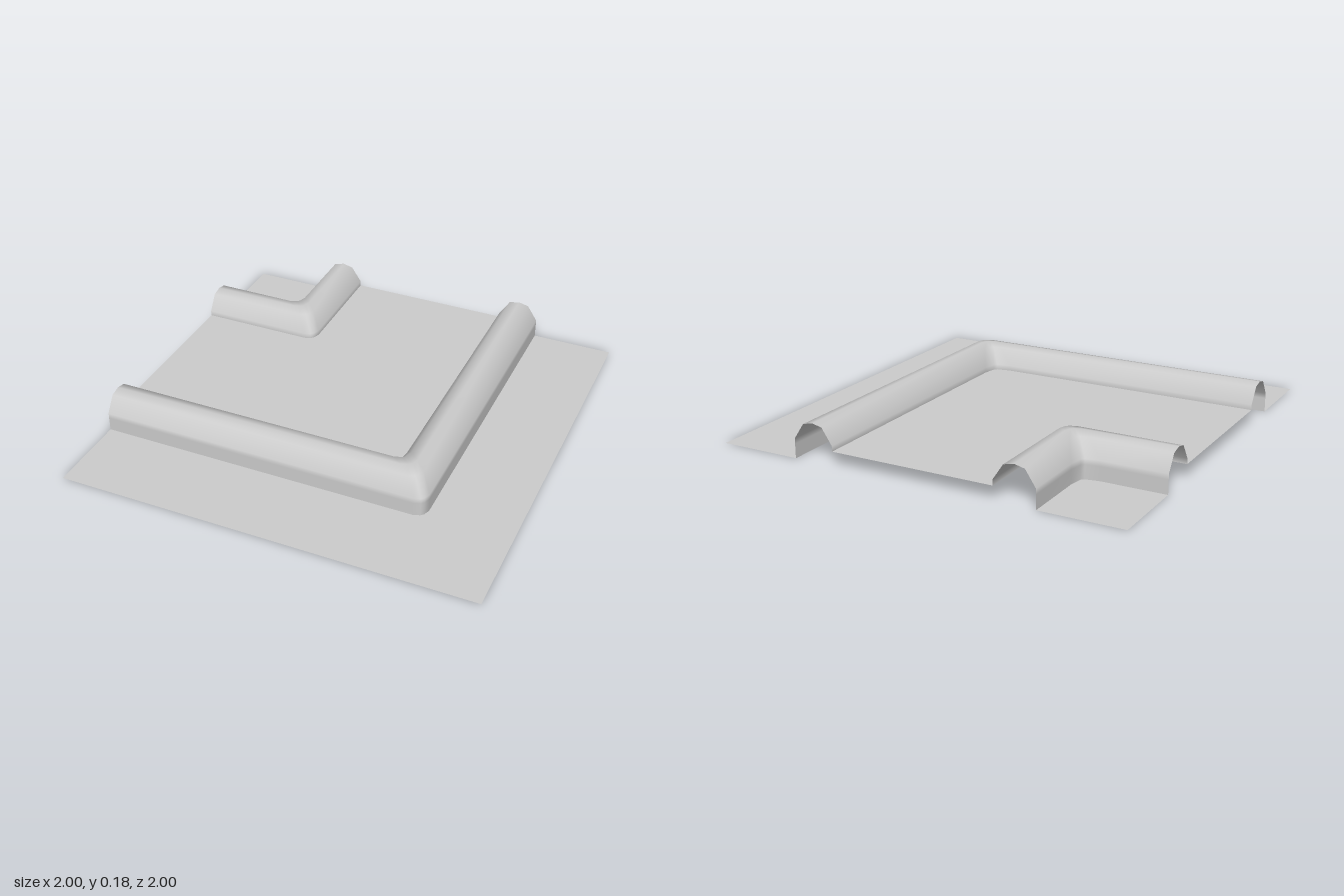
import * as THREE from 'three';

const material = new THREE.MeshStandardMaterial({ color: 0xcccccc, side: THREE.DoubleSide });

const RAISED = 0.067; // height of the floor between the ridges
const INNER_ROUND = 0.09;
const OUTER_ROUND = 0.055;

// Rounded cap of a ridge: [offset from centre line, height, corner rounding]
const CAP = [
  [-0.1, RAISED, INNER_ROUND], [-0.1, 0.093, INNER_ROUND], [-0.05, 0.168, 0.06], [0, 0.18, 0.055],
  [0.05, 0.168, 0.055], [0.1, 0.093, OUTER_ROUND], [0.1, RAISED, OUTER_ROUND],
];

// L-shaped line from the left edge, round the corner at (p, p), to the back edge
function cornerPath(p, r) {
  return [
    [-1, p], [p - r, p], [p - 0.024, p - 0.011],
    [p - 0.011, p - 0.024], [p, p - r], [p, -1],
  ];
}

// Hollow ridge: a cross-section swept round the corner
function makeRidge(name, centre, profile) {
  const positions = [], index = [];
  const rows = profile.map(([d, y, r]) => cornerPath(centre + d, r).map(([x, z]) => [x, y, z]));
  const n = rows[0].length;
  rows.forEach((row) => row.forEach((v) => positions.push(...v)));
  for (let i = 0; i < rows.length - 1; i++) {
    for (let j = 0; j < n - 1; j++) {
      const a = i * n + j, b = a + 1, c = a + n, d = c + 1;
      index.push(a, c, b, b, c, d);
    }
  }
  const geometry = new THREE.BufferGeometry();
  geometry.setAttribute('position', new THREE.Float32BufferAttribute(positions, 3));
  geometry.setIndex(index);
  geometry.computeVertexNormals();
  const mesh = new THREE.Mesh(geometry, material);
  mesh.name = name;
  return mesh;
}

// Flat floor sheet from an [x, z] outline
function makeFloor(name, height, outline) {
  const shape = new THREE.Shape(outline.map(([x, z]) => new THREE.Vector2(x, -z)));
  const mesh = new THREE.Mesh(new THREE.ShapeGeometry(shape).rotateX(-Math.PI / 2), material);
  mesh.position.y = height;
  mesh.name = name;
  return mesh;
}

export function createModel() {
  const group = new THREE.Group();
  group.name = 'floorWithRidges';
  const inner = (c) => cornerPath(c - 0.1, INNER_ROUND);
  const outer = (c) => cornerPath(c + 0.1, OUTER_ROUND);

  // Each ridge drops to ground level on the side away from the raised floor
  group.add(
    makeRidge('smallRidge', -0.5, [[-0.1, 0, INNER_ROUND], ...CAP]),
    makeRidge('largeRidge', 0.5, [...CAP, [0.1, 0, OUTER_ROUND]]),
    makeFloor('cornerFloor', 0, [...inner(-0.5), [-1, -1]]),
    makeFloor('raisedMiddleFloor', RAISED, [...inner(0.5), ...outer(-0.5).reverse()]),
    makeFloor('outerFloor', 0, [...outer(0.5), [1, -1], [1, 1], [-1, 1]]),
  );
  return group;
}
